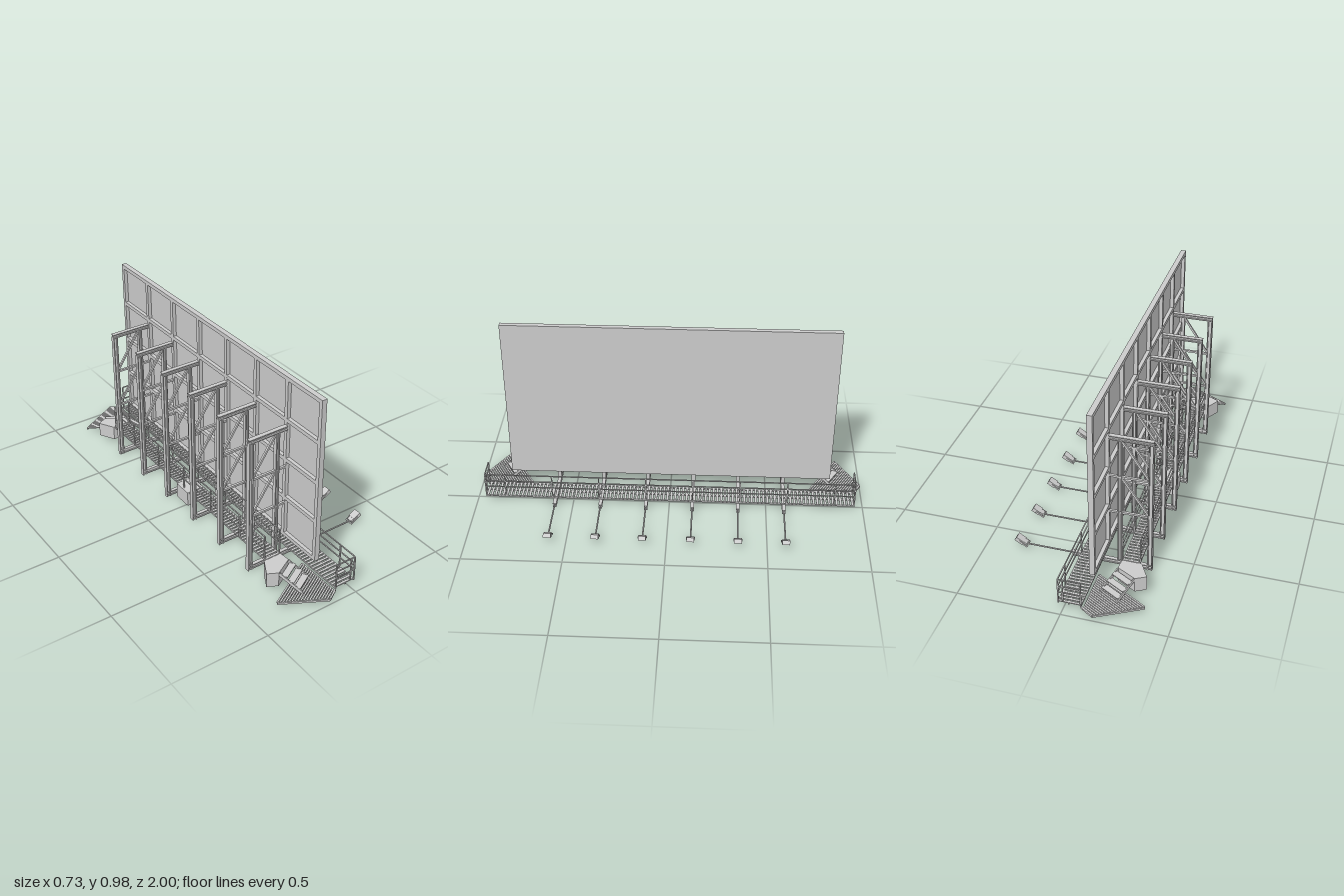
import * as THREE from 'three';

const grey = new THREE.MeshStandardMaterial({ color: 0xcccccc, flatShading: true });

function group(parent, name) {
  const g = new THREE.Group();
  g.name = name;
  parent.add(g);
  return g;
}

function add(parent, name, geometry) {
  const m = new THREE.Mesh(geometry, grey);
  m.name = name;
  parent.add(m);
  return m;
}

// Box given by its extents
function box(parent, name, x0, x1, y0, y1, z0, z1) {
  const m = add(parent, name, new THREE.BoxGeometry(x1 - x0, y1 - y0, Math.abs(z1 - z0)));
  m.position.set((x0 + x1) / 2, (y0 + y1) / 2, (z0 + z1) / 2);
  return m;
}

// Rectangular bar running between two points
function bar(parent, name, a, b, w, h = w) {
  const p = new THREE.Vector3(...a), q = new THREE.Vector3(...b);
  const m = add(parent, name, new THREE.BoxGeometry(w, h, p.distanceTo(q)));
  m.position.copy(p).lerp(q, 0.5);
  m.lookAt(q);
  return m;
}

// Upright prism over a floor outline of [x, z] points
function prism(parent, name, outline, y0, y1) {
  const shape = new THREE.Shape(outline.map(([x, z]) => new THREE.Vector2(x, -z)));
  const g = new THREE.ExtrudeGeometry(shape, { depth: y1 - y0, bevelEnabled: false });
  g.rotateX(-Math.PI / 2);
  g.translate(0, y0, 0);
  return add(parent, name, g);
}

// I-section members lying in the plane of a support frame
function postI(parent, name, x0, x1, y0, y1, w) {
  const t = 0.005;
  box(parent, name, x0, x0 + t, y0, y1, -w / 2, w / 2);
  box(parent, name, x1 - t, x1, y0, y1, -w / 2, w / 2);
  box(parent, name, x0 + t, x1 - t, y0, y1, -0.003, 0.003);
}
function beamI(parent, name, x0, x1, y0, y1, w) {
  const t = 0.005;
  box(parent, name, x0, x1, y0, y0 + t, -w / 2, w / 2);
  box(parent, name, x0, x1, y1 - t, y1, -w / 2, w / 2);
  box(parent, name, x0, x1, y0 + t, y1 - t, -0.003, 0.003);
}

// Face sheet with a rib grid of 7 x 4 bays behind it
function buildPanel(root) {
  const g = group(root, 'displayPanel');
  const W = 0.83, y0 = 0.115, y1 = 0.98, r = 0.01;
  box(g, 'faceSheet', -0.093, -0.085, y0, y1, -W, W);
  for (let i = 0; i <= 7; i++) {
    const z = -W + r + (i / 7) * 2 * (W - r);
    box(g, 'verticalRib', -0.111, -0.093, y0, y1, z - r, z + r);
  }
  for (let i = 0; i <= 4; i++) {
    const y = y0 + r + (i / 4) * (y1 - y0 - 2 * r);
    box(g, 'horizontalRib', -0.111, -0.093, y - r, y + r, -W, W);
  }
}

// Trussed support with base beam and lamp arm
function buildSupport(root, z) {
  const g = group(root, 'supportFrame');
  postI(g, 'outerPost', -0.32, -0.296, 0, 0.712, 0.022);
  beamI(g, 'topBeam', -0.32, -0.111, 0.712, 0.733, 0.022);
  postI(g, 'innerPost', -0.172, -0.152, 0.026, 0.712, 0.02);
  beamI(g, 'baseBeam', -0.32, 0.075, 0.002, 0.026, 0.018);
  for (const y of [0.31, 0.512]) {
    box(g, 'crossBar', -0.296, -0.111, y - 0.005, y + 0.005, -0.006, 0.006);
    bar(g, 'diagonalBrace', [-0.296, y + 0.01, 0], [-0.17, y + 0.198, 0], 0.01);
  }
  const arm = add(g, 'lampArm', new THREE.CylinderGeometry(0.004, 0.004, 0.235, 8));
  arm.rotation.z = Math.PI / 2;
  arm.position.set(0.1875, 0.015, 0);
  const lamp = group(g, 'lamp');
  lamp.position.set(0.333, 0.031, 0);
  lamp.rotation.z = 0.55;
  box(lamp, 'lampHousing', -0.012, 0.03, -0.011, 0.011, -0.019, 0.019);
  box(lamp, 'lampBack', -0.03, -0.012, -0.008, 0.008, -0.014, 0.014);
  for (const s of [-1, 1]) box(lamp, 'lampBracket', -0.036, 0.008, -0.004, 0.004, s * 0.019, s * 0.022);
  box(lamp, 'bracketBase', -0.04, -0.034, -0.004, 0.004, -0.022, 0.022);
  g.position.z = z;
}

// Slatted deck running along z
function buildDeck(root, name, x0, x1, y, half, step) {
  const g = group(root, name);
  const n = Math.round((2 * half) / step);
  for (let i = 0; i < n; i++) {
    const z = -half + (i + 0.5) * (2 * half) / n;
    box(g, 'slat', x0, x1, y - 0.005, y, z - step * 0.3, z + step * 0.3);
  }
  for (const x of [x0, (x0 + x1) / 2, x1 - 0.006])
    box(g, 'deckBearer', x, x + 0.006, y - 0.009, y - 0.002, -half, half);
}

// Posts through a list of floor points with three rails above each span
function buildRailing(root, name, points, y, h) {
  const g = group(root, name);
  points.forEach(([x, z], i) => {
    box(g, 'railPost', x - 0.003, x + 0.003, y, y + h, z - 0.003, z + 0.003);
    if (i === 0) return;
    const [px, pz] = points[i - 1];
    for (const k of [0.42, 0.7, 1])
      bar(g, 'rail', [px, y + h * k, pz], [x, y + h * k, z], 0.005);
  });
}

// Corner landing, steps and raised platform block; s picks the end
function buildEnd(root, s) {
  const g = group(root, s > 0 ? 'frontEnd' : 'backEnd');
  const c = Math.cos(Math.PI / 6), d = 0.5;
  const A = [-0.36, 0.88], B = [-0.15, 0.997];
  const at = ([x, z], y) => [x, y, s * z];
  // Landing slats all run parallel and stop under the front deck
  const n = 18, end = ([x, z]) => { const L = (-0.1 - x) / c; return [x + L * c, z - L * d]; };
  for (let i = 0; i <= n; i++) {
    const p = [A[0] + (B[0] - A[0]) * i / n, A[1] + (B[1] - A[1]) * i / n];
    bar(g, 'landingSlat', at(p, 0.03), at(end(p), 0.03), 0.008, 0.005);
  }
  bar(g, 'landingEdge', at(A, 0.025), at(B, 0.025), 0.008, 0.01);
  bar(g, 'landingEdge', at(end(A), 0.025), at(end(B), 0.025), 0.008, 0.01);
  bar(g, 'landingEdge', at(B, 0.025), at([-0.085, 0.955], 0.025), 0.008, 0.01);
  bar(g, 'landingBearer', at([-0.29, 0.84], 0.015), at([-0.1, 0.94], 0.015), 0.012, 0.016);
  bar(g, 'landingBearer', at([-0.23, 0.8], 0.015), at([-0.1, 0.87], 0.015), 0.012, 0.016);

  prism(g, 'platformBlock',
    [[-0.34, 0.77], [-0.29, 0.797], [-0.195, 0.745], [-0.2, 0.69], [-0.295, 0.69]]
      .map(([x, z]) => [x, s * z]), 0.034, 0.111);

  // Steps descend from the angled block face to the landing
  const P = [-0.287, 0.795], Q = [-0.197, 0.743], run = 0.115;
  const out = ([x, z], t) => [x + d * run * t, z + c * run * t];
  for (const e of [P, Q])
    bar(g, 'stepStringer', at(e, 0.103), at(out(e, 1), 0.034), 0.006, 0.016);
  for (const t of [0.22, 0.5, 0.78])
    bar(g, 'stepTread', at(out(P, t), 0.111 - 0.076 * t), at(out(Q, t), 0.111 - 0.076 * t), 0.032, 0.005);
}

export function createModel() {
  const root = new THREE.Group();
  root.name = 'billboard';
  buildPanel(root);
  for (const z of [0.12, 0.355, 0.592]) {
    buildSupport(root, z);
    buildSupport(root, -z);
  }

  // Front walkway, railed along its outer side and both ends
  buildDeck(root, 'frontWalkway', -0.085, 0.028, 0.035, 0.955, 0.02);
  const inner = [0.85, 0.607, 0.364, 0.121];
  const zs = [...inner, ...inner.map((z) => -z).reverse()];
  buildRailing(root, 'frontRailing', [
    [-0.082, 0.953], [0.003, 0.953], [0.025, 0.953], ...zs.map((z) => [0.025, z]),
    [0.025, -0.953], [0.003, -0.953], [-0.082, -0.953]], 0.035, 0.127);

  // Raised rear walkway, railed on both sides
  buildDeck(root, 'rearWalkway', -0.285, -0.2, 0.111, 0.69, 0.02);
  for (const x of [-0.285, -0.2])
    buildRailing(root, 'rearRailing', [-0.68, -0.48, -0.24, 0, 0.24, 0.48, 0.68].map((z) => [x, z]), 0.111, 0.13);
  box(root, 'centreBlock', -0.297, -0.205, 0.034, 0.113, -0.05, 0.05);

  buildEnd(root, 1);
  buildEnd(root, -1);
  return root;
}
